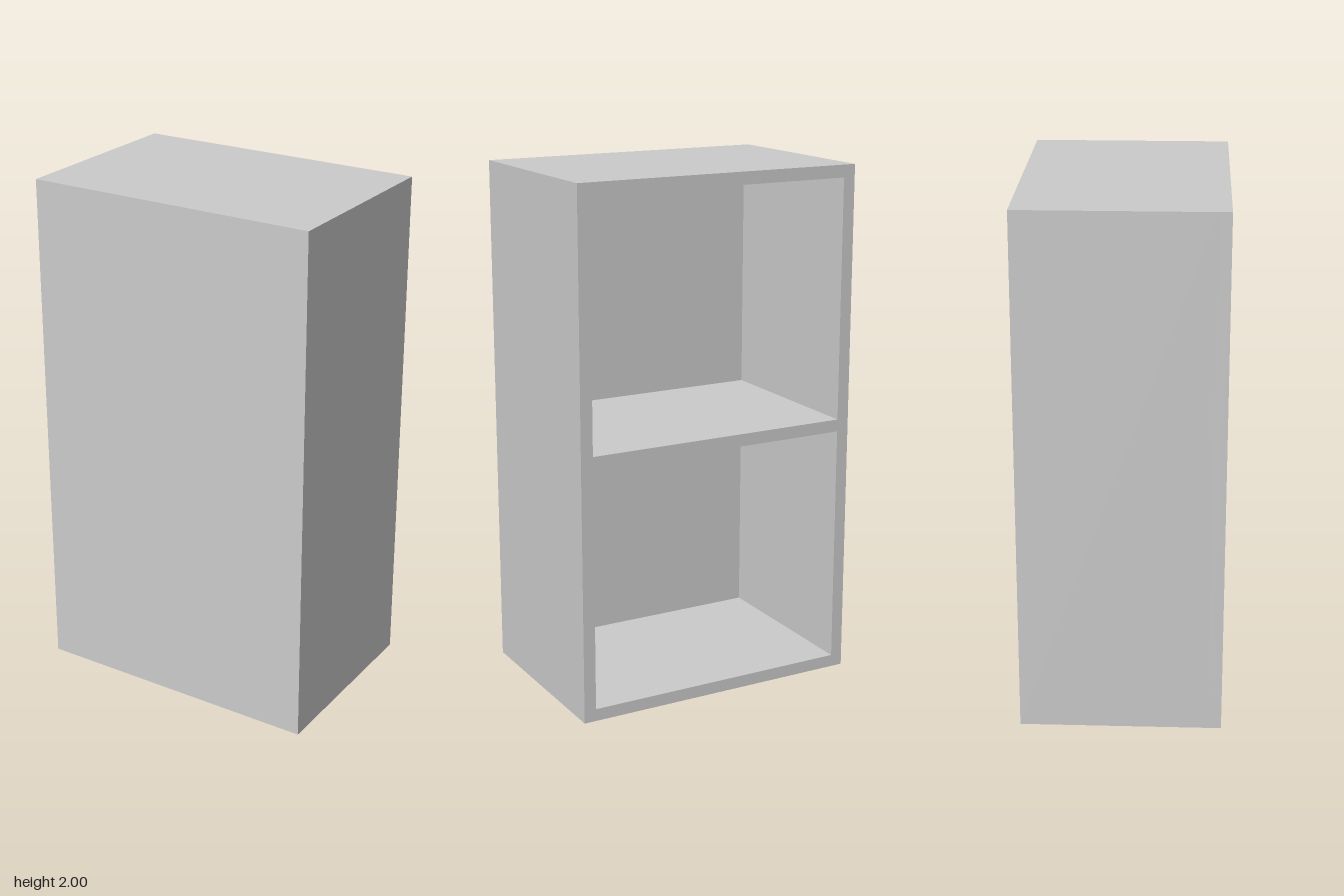
import * as THREE from 'three';

const W = 1.143, H = 2, D = 0.762; // overall size
const T = 0.0476;                  // board thickness

// Rectangle outline from its lower-left corner
function rect(PathType, x, y, w, h) {
  const p = new PathType();
  p.moveTo(x, y);
  p.lineTo(x + w, y);
  p.lineTo(x + w, y + h);
  p.lineTo(x, y + h);
  p.closePath();
  return p;
}

export function createModel() {
  const group = new THREE.Group();
  group.name = 'shelfCabinet';
  const material = new THREE.MeshStandardMaterial({ color: 0xcccccc });

  // Carcass: sides, top, bottom and middle shelf around two equal openings
  const outline = rect(THREE.Shape, -W / 2, 0, W, H);
  const openH = (H - 3 * T) / 2;
  for (let i = 0; i < 2; i++) {
    outline.holes.push(rect(THREE.Path, -W / 2 + T, T + i * (openH + T), W - 2 * T, openH));
  }
  const carcass = new THREE.Mesh(
    new THREE.ExtrudeGeometry(outline, { depth: D - T, bevelEnabled: false }), material);
  carcass.name = 'carcass';
  carcass.position.z = -D / 2;
  group.add(carcass);

  // Solid panel closing the front; the compartments open to the back
  const panel = new THREE.Mesh(new THREE.BoxGeometry(W, H, T), material);
  panel.name = 'frontPanel';
  panel.position.set(0, H / 2, D / 2 - T / 2);
  group.add(panel);

  return group;
}
